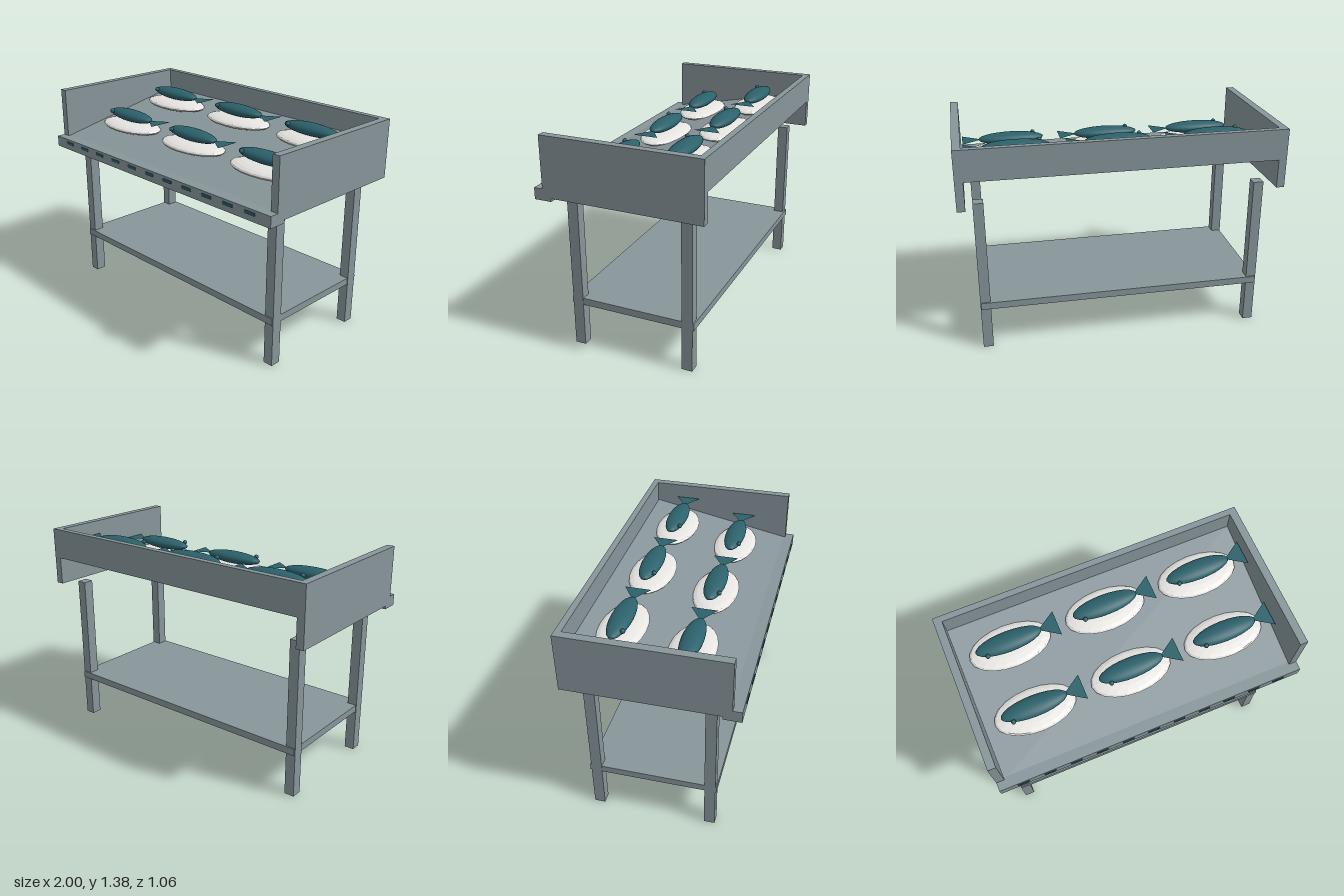
import * as THREE from 'three';

const steel = new THREE.MeshStandardMaterial({ color: 0x87959a });
steel.name = 'steel grey';
const white = new THREE.MeshStandardMaterial({ color: 0xe6e5e2, flatShading: true });
white.name = 'dish white';
const teal = new THREE.MeshStandardMaterial({ color: 0x2b616b });
teal.name = 'fish teal';
const finTeal = teal.clone();
finTeal.side = THREE.DoubleSide;

// Box given by its minimum and maximum on each axis
function box(name, x0, x1, y0, y1, z0, z1, material = steel) {
  const mesh = new THREE.Mesh(new THREE.BoxGeometry(x1 - x0, y1 - y0, z1 - z0), material);
  mesh.position.set((x0 + x1) / 2, (y0 + y1) / 2, (z0 + z1) / 2);
  mesh.name = name;
  return mesh;
}

function ellipsoid(name, rx, ry, rz, material, w, h) {
  const mesh = new THREE.Mesh(new THREE.SphereGeometry(1, w, h).scale(rx, ry, rz), material);
  mesh.name = name;
  return mesh;
}

// Dish with one fish, nose towards -x
function servedFish() {
  const group = new THREE.Group();
  group.name = 'servedFish';
  const dish = ellipsoid('dish', 0.26, 0.035, 0.143, white, 20, 10);
  const body = ellipsoid('fishBody', 0.21, 0.038, 0.067, teal, 24, 14);
  body.position.y = 0.072;
  const eye = ellipsoid('fishEye', 0.015, 0.015, 0.015, teal, 10, 8);
  eye.position.set(-0.147, 0.087, 0.052);

  const fin = new THREE.Shape();
  fin.moveTo(0.19, 0);
  fin.lineTo(0.313, -0.083);
  fin.lineTo(0.313, 0.083);
  const tail = new THREE.Mesh(new THREE.ShapeGeometry(fin).rotateX(-Math.PI / 2), finTeal);
  tail.position.y = 0.072;
  tail.name = 'fishTail';
  group.add(dish, body, eye, tail);
  return group;
}

export function createModel() {
  const model = new THREE.Group();
  model.name = 'fishCounter';

  // Legs and lower shelf
  for (const x of [-0.876, 0.876]) {
    for (const z of [0.335, -0.39]) {
      model.add(box('leg', x - 0.032, x + 0.032, 0, 1, z - 0.034, z + 0.034));
    }
  }
  model.add(box('lowerShelf', -0.904, 0.904, 0.28, 0.325, -0.433, 0.376));

  // Tray walls and front rail
  for (const s of [-1, 1]) {
    model.add(box('sidePanel', s * 0.975 - 0.025, s * 0.975 + 0.025, 1, 1.375, -0.53, 0.47));
  }
  model.add(box('backPanel', -0.95, 0.95, 1.18, 1.375, -0.53, -0.49));
  model.add(box('frontRail', -1, 1, 0.98, 1.052, 0.415, 0.525));

  // Sloping deck, higher at the back
  const slope = 0.197;
  const deck = new THREE.Mesh(new THREE.BoxGeometry(1.9, 0.036, 0.975), steel);
  deck.rotation.x = slope;
  deck.position.set(0, 1.127, -0.013);
  deck.name = 'deck';
  model.add(deck);

  // Slots along the front rail
  for (let i = -5; i <= 5; i++) {
    const x = i * 0.17;
    model.add(box('railSlot', x - 0.037, x + 0.037, 1.018, 1.036, 0.522, 0.53, teal));
  }

  // Two rows of three dishes
  for (const [z, y] of [[0.157, 1.131], [-0.257, 1.214]]) {
    for (const x of [-0.626, 0, 0.626]) {
      const fish = servedFish();
      fish.position.set(x, y, z);
      model.add(fish);
    }
  }
  return model;
}
